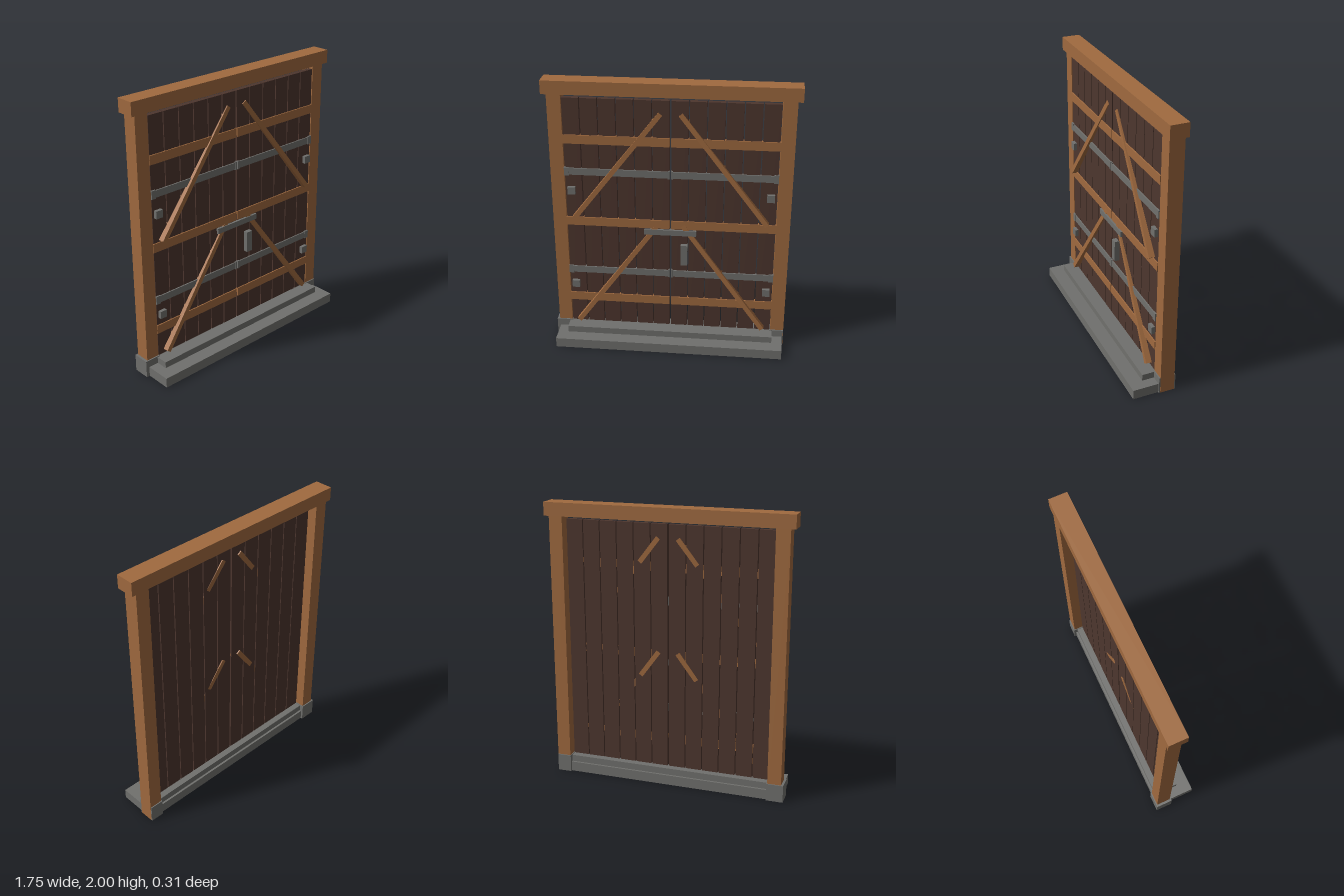
import * as THREE from 'three';

const wood = new THREE.MeshStandardMaterial({ color: 0xa06a3f });
wood.name = 'oak wood';
const dark = new THREE.MeshStandardMaterial({ color: 0x4d362e });
dark.name = 'dark plank wood';
const grey = new THREE.MeshStandardMaterial({ color: 0x70706d });
grey.name = 'stone and iron grey';

// Box given by its limits on each axis
function block(parent, name, mat, [x0, x1], [y0, y1], [z0, z1]) {
  const mesh = new THREE.Mesh(new THREE.BoxGeometry(x1 - x0, y1 - y0, z1 - z0), mat);
  mesh.position.set((x0 + x1) / 2, (y0 + y1) / 2, (z0 + z1) / 2);
  mesh.name = name;
  parent.add(mesh);
  return mesh;
}

// Square-ended beam from a to b, leaning with its front face tilted along its run
function beam(parent, name, mat, a, b, width, depth) {
  const run = b.clone().sub(a);
  const along = run.clone().normalize();
  const side = new THREE.Vector3().crossVectors(new THREE.Vector3(0, 0, 1), along).normalize();
  const out = new THREE.Vector3().crossVectors(along, side);
  const mesh = new THREE.Mesh(new THREE.BoxGeometry(run.length(), width, depth), mat);
  mesh.quaternion.setFromRotationMatrix(new THREE.Matrix4().makeBasis(along, side, out));
  mesh.position.copy(a).add(b).multiplyScalar(0.5);
  mesh.name = name;
  parent.add(mesh);
}

// Limits of a span mirrored to the given side
const span = (s, a, b) => (s > 0 ? [a, b] : [-b, -a]);

export function createModel() {
  const model = new THREE.Group();
  model.name = 'doubleGate';

  // Frame
  const frame = new THREE.Group();
  frame.name = 'frame';
  model.add(frame);
  block(frame, 'lintel', wood, [-0.877, 0.877], [1.905, 2], [-0.155, -0.025]);
  for (const s of [-1, 1]) {
    block(frame, 'post', wood, span(s, 0.746, 0.843), [0.001, 1.905], [-0.147, -0.042]);
  }

  // Stone footing and steps
  const footing = new THREE.Group();
  footing.name = 'footing';
  model.add(footing);
  block(footing, 'rightPostBase', grey, [-0.86, -0.74], [0, 0.125], [-0.155, -0.033]);
  block(footing, 'leftPostBase', grey, [0.74, 0.841], [0, 0.125], [-0.155, -0.033]);
  block(footing, 'lowerStep', grey, [-0.835, 0.831], [0, 0.072], [-0.14, 0.155]);
  block(footing, 'upperStep', grey, [-0.76, 0.757], [0.072, 0.12], [-0.125, 0.055]);

  // Two mirrored door leaves
  for (const s of [-1, 1]) {
    const leaf = new THREE.Group();
    leaf.name = s > 0 ? 'leftLeaf' : 'rightLeaf';
    model.add(leaf);

    for (let i = 0; i < 6; i++) {
      const x = 0.006 + i * 0.1238;
      block(leaf, 'plank', dark, span(s, x, x + 0.1165), [0.122, 1.88], [-0.08, -0.045]);
    }
    for (const y of [0.302, 0.928, 1.552]) {
      block(leaf, 'rail', wood, span(s, 0.006, 0.746), [y, y + 0.064], [-0.07, -0.037]);
    }

    // Iron straps with hinge plates and bolts
    for (const y of [0.54, 1.32]) {
      block(leaf, 'strap', grey, span(s, 0.006, 0.73), [y, y + 0.05], [-0.06, -0.036]);
      block(leaf, 'hingePlate', grey, span(s, 0.712, 0.746), [y - 0.005, y + 0.055], [-0.06, -0.033]);
      block(leaf, 'strapEnd', grey, span(s, 0.004, 0.018), [y - 0.005, y + 0.055], [-0.06, -0.033]);
      block(leaf, 'bolt', grey, span(s, 0.672, 0.726), [y - 0.145 + (y < 1 ? 0.025 : 0), y - 0.09 + (y < 1 ? 0.025 : 0)], [-0.06, -0.02]);
    }

    // Leaning braces, their upper ends breaking through the planks
    for (const [y0, y1] of [[0.145, 0.98], [0.998, 1.785]]) {
      beam(leaf, 'brace', wood,
        new THREE.Vector3(s * 0.682, y0, -0.027),
        new THREE.Vector3(s * 0.07, y1, -0.063), 0.034, 0.05);
    }
  }

  // Latch bar and handle
  block(model, 'latchBar', grey, [-0.187, 0.185], [0.88, 0.921], [-0.06, -0.029]);
  block(model, 'handle', grey, [0.075, 0.124], [0.652, 0.81], [-0.06, -0.012]);

  return model;
}
